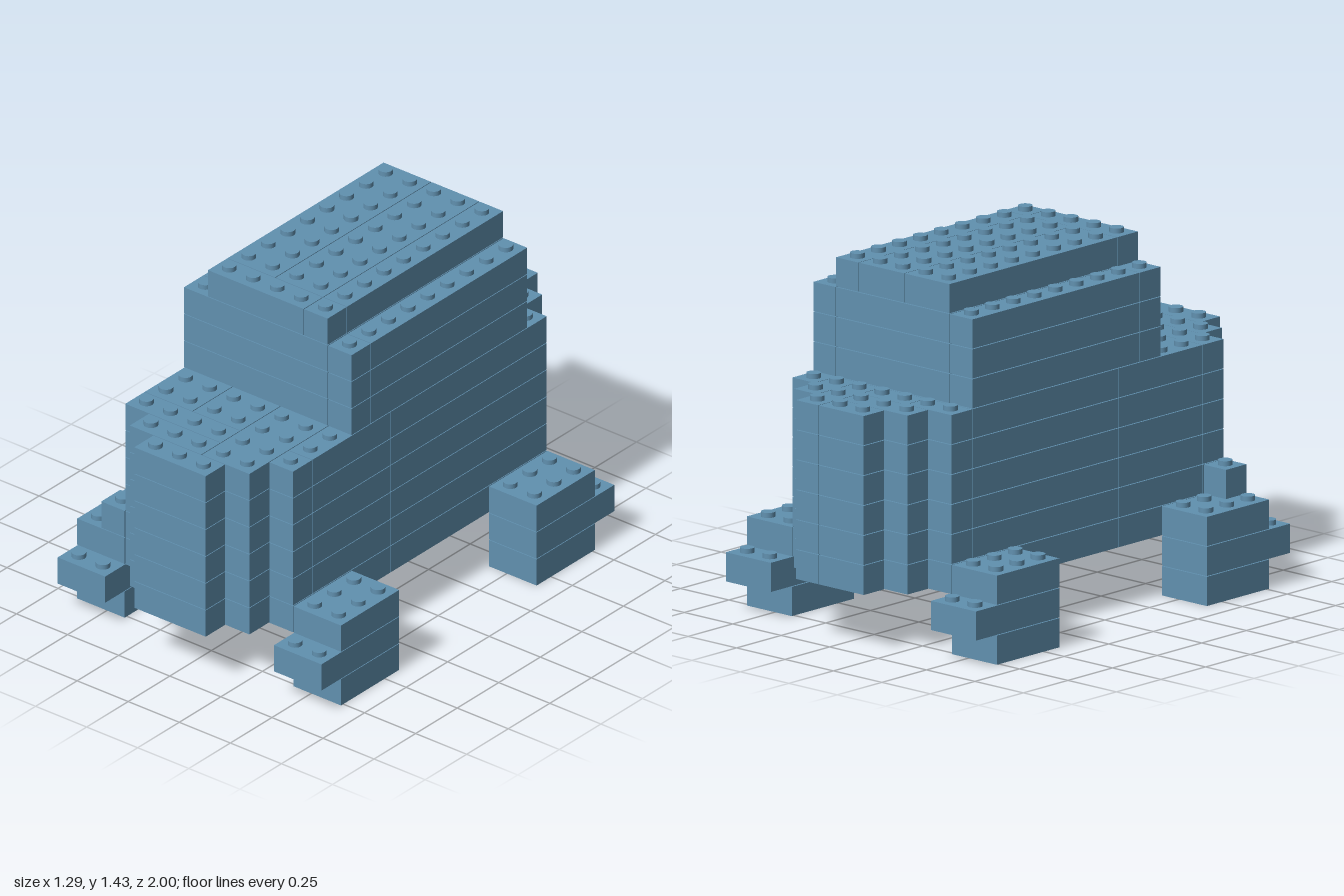
import * as THREE from 'three';
import { mergeGeometries } from 'three/addons/utils/BufferGeometryUtils.js';

const P = 2 / 17;        // stud pitch and brick height
const GAP = 0.003;       // seam between bricks
const STUD_R = 0.028, STUD_H = 0.018;

// Grid coordinates to model coordinates
const gx = (c) => (c - 5.5) * P;
const gz = (r) => (r - 8.5) * P;

// Brick footprints as [column start, column end, row start, row end]
const bodyPlan = [
  // front steps
  [2, 4, 10, 14], [4, 6, 10, 14], [2, 6, 14, 15], [3, 6, 15, 16], [4, 7, 16, 17],
  [6, 8, 10, 16], [8, 9, 10, 14], [8, 9, 14, 15],
  // middle
  [2, 5, 3, 10], [5, 8, 3, 10], [8, 9, 2, 10],
  // back steps
  [2, 4, 2, 3], [4, 6, 2, 3], [3, 6, 1, 2], [4, 6, 0, 1], [6, 7, 0, 3], [7, 8, 1, 3],
];
const cabinPlan = [[2, 8, 11, 12], [8, 9, 11, 12], [2, 3, 3, 11], [3, 8, 3, 11], [8, 9, 3, 11]];
const roofPlan = [[3, 7, 11, 12], [7, 8, 11, 12], [3, 5, 3, 11], [5, 7, 3, 11], [7, 8, 3, 11]];

const layers = (plan, from, to) => {
  const out = [];
  for (let y = from; y <= to; y++) plan.forEach((b) => out.push([...b, y]));
  return out;
};

// Three stacked bricks, the middle one a stud longer towards the outer end
function legBricks(col, front) {
  return [3, 4, 3].map((len, y) => {
    const [a, b] = front ? [12, 12 + len] : [5 - len, 5];
    return [col, col + 2, a, b, y];
  });
}

export function createModel() {
  const group = new THREE.Group();
  group.name = 'brickModel';
  const blue = new THREE.MeshStandardMaterial({ color: 0x6191b0 });
  blue.name = 'steelBlue';

  const parts = {
    body: layers(bodyPlan, 2, 7),
    cabin: layers(cabinPlan, 8, 10),
    roof: layers(roofPlan, 11, 11),
    sideStep: [[1, 2, 14, 15, 3]],
    frontRightLeg: legBricks(0, true),
    frontLeftLeg: legBricks(9, true),
    backRightLeg: legBricks(0, false),
    backLeftLeg: legBricks(9, false),
  };

  // Mark filled cells so that studs appear only where nothing sits on top
  const filled = new Set();
  const eachCell = ([c0, c1, r0, r1, y], fn) => {
    for (let c = c0; c < c1; c++) for (let r = r0; r < r1; r++) fn(c, r, y);
  };
  Object.values(parts).flat().forEach((b) => eachCell(b, (c, r, y) => filled.add(`${c},${r},${y}`)));

  for (const [name, bricks] of Object.entries(parts)) {
    const boxes = [], studs = [];
    for (const b of bricks) {
      const [c0, c1, r0, r1, y] = b;
      boxes.push(new THREE.BoxGeometry((c1 - c0) * P - GAP, P - GAP, (r1 - r0) * P - GAP)
        .translate(gx((c0 + c1) / 2), (y + 0.5) * P, gz((r0 + r1) / 2)));
      eachCell(b, (c, r) => {
        if (filled.has(`${c},${r},${y + 1}`)) return;
        studs.push(new THREE.CylinderGeometry(STUD_R, STUD_R, STUD_H + GAP, 20)
          .translate(gx(c + 0.5), (y + 1) * P + (STUD_H - GAP) / 2, gz(r + 0.5)));
      });
    }
    const part = new THREE.Group();
    part.name = name;
    for (const [label, list] of [['Bricks', boxes], ['Studs', studs]]) {
      if (!list.length) continue;
      const mesh = new THREE.Mesh(mergeGeometries(list), blue);
      mesh.name = name + label;
      part.add(mesh);
    }
    group.add(part);
  }
  return group;
}
